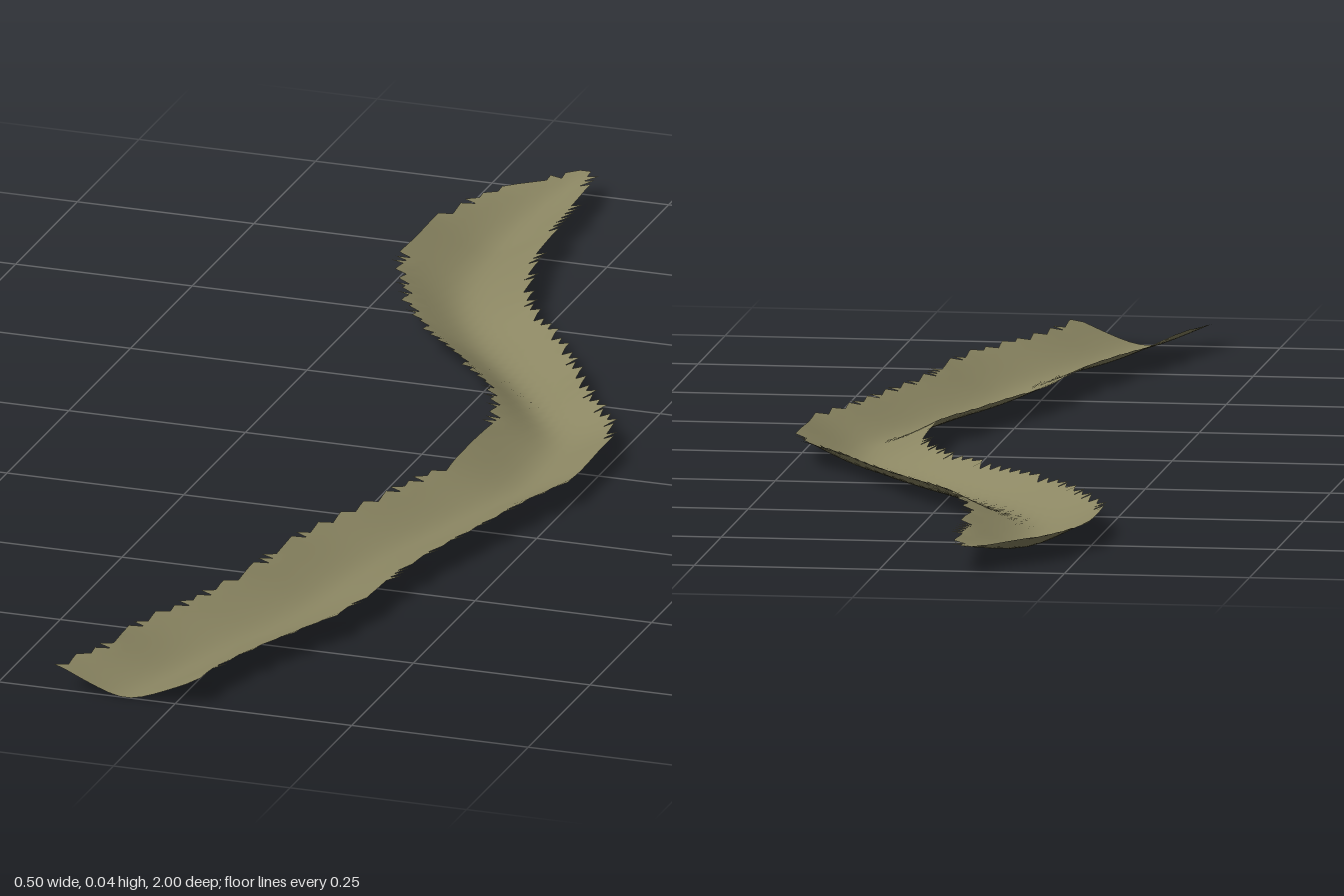
import * as THREE from 'three';

// Bank positions [x low, x high] every 0.1 along z, from the tip (-1) to the open end (+1)
const BANKS = [
  [-0.13, -0.105], [-0.2, -0.09], [-0.24, -0.085], [-0.25, -0.075], [-0.24, -0.055],
  [-0.2, -0.02], [-0.145, 0.05], [-0.06, 0.115], [0.02, 0.17], [0.065, 0.235],
  [0.08, 0.248], [0.078, 0.25], [0.045, 0.22], [0.015, 0.195], [-0.02, 0.17],
  [-0.035, 0.15], [-0.05, 0.14], [-0.08, 0.12], [-0.115, 0.08], [-0.13, 0.045], [-0.165, 0.025],
];
const RIM = 0.034;
const CELL = 1 / 64;

export function createModel() {
  const group = new THREE.Group();
  const earth = new THREE.MeshStandardMaterial({ color: 0x8c8763, side: THREE.DoubleSide });
  earth.name = 'olive earth';

  const banks = new THREE.SplineCurve(BANKS.map(([a, b]) => new THREE.Vector2(a, b)));
  // Signed position across the channel: -1 and 1 at the banks
  const across = (x, z) => {
    const b = banks.getPoint((z + 1) / 2);
    return (x - (b.x + b.y) / 2) / ((b.y - b.x) / 2);
  };
  // Rounded V section whose floor rises to the rim at the tip
  const height = (x, z) => {
    const u = Math.min(Math.abs(across(x, z)), 1.03);
    const floor = RIM * Math.pow(Math.max(0, (-0.75 - z) / 0.25), 1.5);
    const section = (Math.sqrt(u * u + 0.09) - 0.3) / 0.744;
    return floor + (RIM - floor) * section;
  };

  // Regular grid, keeping only triangles inside the banks, which leaves stepped edges
  const positions = [], indices = [], lookup = new Map();
  const vertex = (i, j) => {
    const key = i + ',' + j;
    if (!lookup.has(key)) {
      const x = i * CELL, z = j * CELL;
      lookup.set(key, positions.length / 3);
      positions.push(x, height(x, z), z);
    }
    return lookup.get(key);
  };
  const triangle = (...corners) => {
    const x = corners.reduce((s, c) => s + c[0], 0) * CELL / 3;
    const z = corners.reduce((s, c) => s + c[1], 0) * CELL / 3;
    if (Math.abs(across(x, z)) < 1) indices.push(...corners.map(([i, j]) => vertex(i, j)));
  };
  for (let j = -64; j < 64; j++) {
    for (let i = -18; i < 18; i++) {
      triangle([i, j], [i, j + 1], [i + 1, j]);
      triangle([i + 1, j], [i, j + 1], [i + 1, j + 1]);
    }
  }
  const geometry = new THREE.BufferGeometry();
  geometry.setAttribute('position', new THREE.Float32BufferAttribute(positions, 3));
  geometry.setIndex(indices);
  geometry.computeVertexNormals();

  const bed = new THREE.Mesh(geometry, earth);
  bed.name = 'riverBed';
  group.add(bed);
  return group;
}
